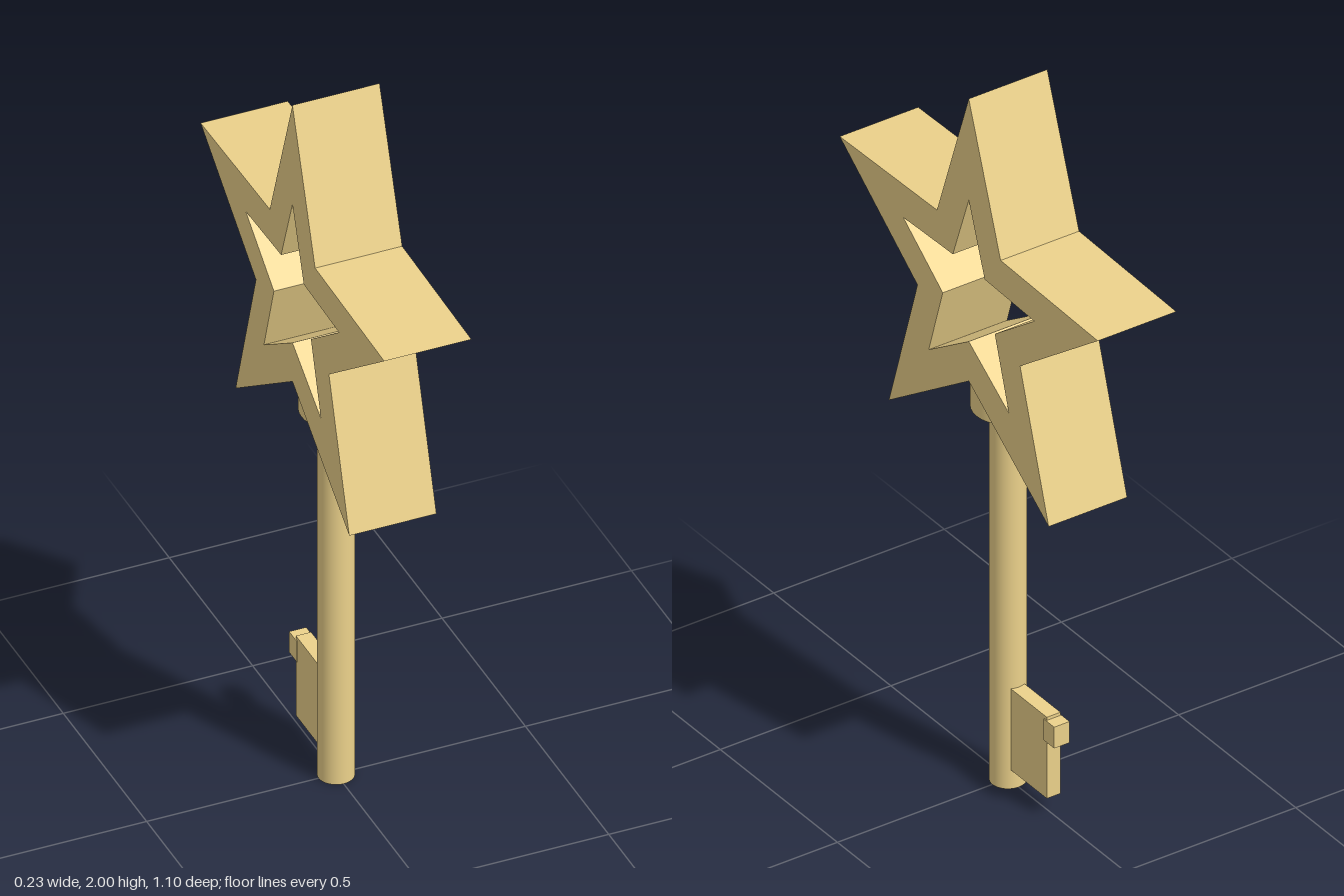
import * as THREE from 'three';

export function createModel() {
  const group = new THREE.Group();
  group.name = 'key';
  const gold = new THREE.MeshStandardMaterial({ color: 0xecd28b });

  const add = (name, geometry, x = 0, y = 0, z = 0) => {
    const mesh = new THREE.Mesh(geometry, gold);
    mesh.name = name;
    mesh.position.set(x, y, z);
    group.add(mesh);
    return mesh;
  };
  const rod = (name, radius, y0, y1) =>
    add(name, new THREE.CylinderGeometry(radius, radius, y1 - y0, 32), 0, (y0 + y1) / 2, 0);
  const block = (name, width, y0, y1, z0, z1) =>
    add(name, new THREE.BoxGeometry(width, y1 - y0, z1 - z0), 0, (y0 + y1) / 2, (z0 + z1) / 2);

  // Mirror half an outline, from its top point to its bottom notch
  const mirrored = (half) => {
    const other = half.slice(1, -1).reverse().map(([x, y]) => [-x, y]);
    return [...half, ...other].map(([x, y]) => new THREE.Vector2(x, y));
  };

  // Open star handle, extruded across x; the hole winds against the outline
  const depth = 0.23;
  const star = new THREE.Shape(mirrored([
    [0, 2], [0.136, 1.607], [0.551, 1.597], [0.219, 1.347], [0.341, 0.95], [0, 1.187],
  ]));
  star.holes.push(new THREE.Path(mirrored([
    [0, 1.708], [0.068, 1.516], [0.28, 1.509], [0.111, 1.382], [0.171, 1.186], [0, 1.301],
  ]).reverse()));
  const starGeometry = new THREE.ExtrudeGeometry(star, { depth, bevelEnabled: false });
  starGeometry.translate(0, 0, -depth / 2).rotateY(Math.PI / 2);
  add('starHandle', starGeometry);

  // Round shaft and collar
  rod('shaft', 0.046, 0, 1.12);
  rod('collar', 0.092, 1.077, 1.187);

  // Flat bit with a small tooth at the back
  block('bit', 0.04, 0.054, 0.288, -0.195, -0.02);
  block('tooth', 0.045, 0.218, 0.279, -0.23, -0.185);

  return group;
}
